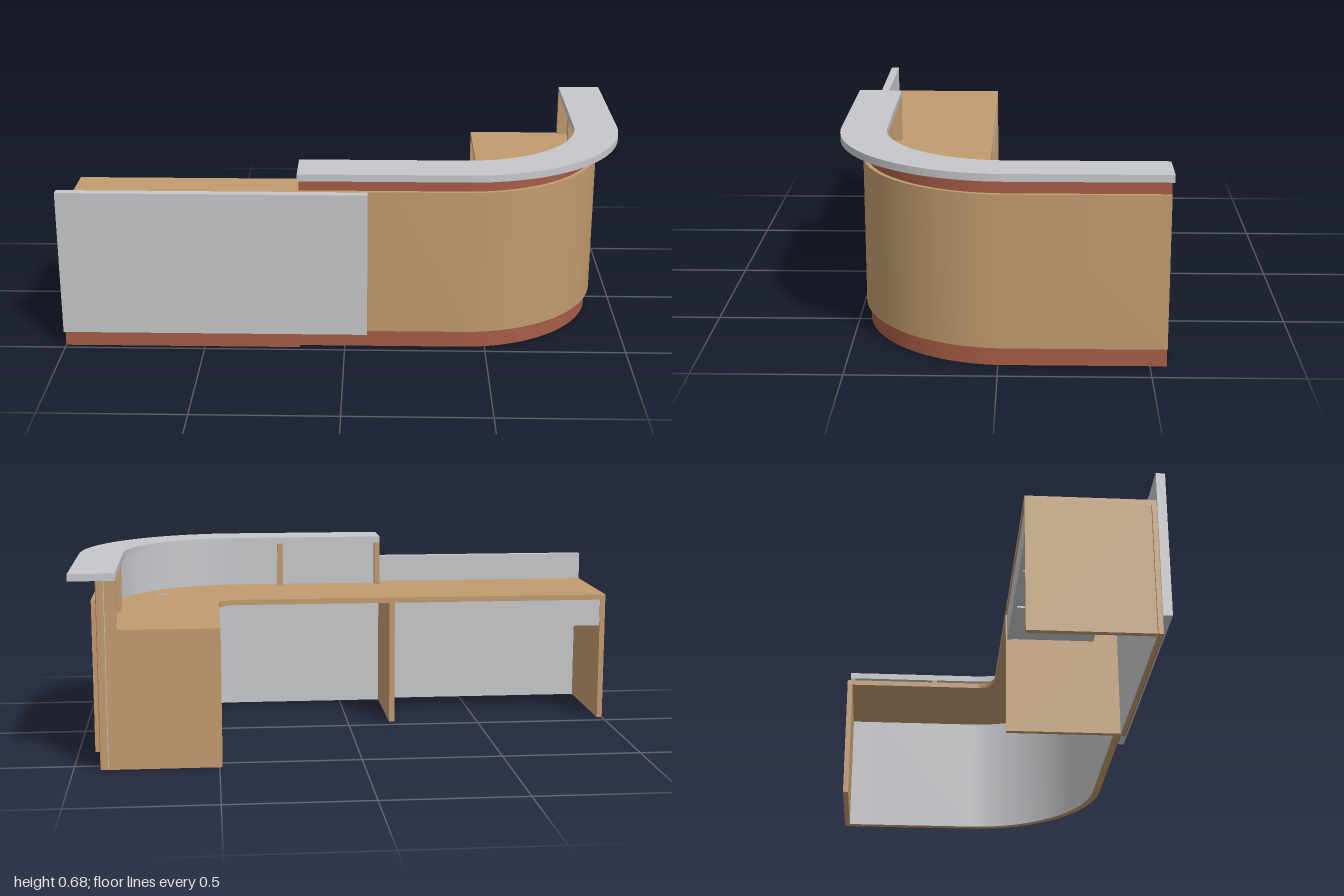
import * as THREE from 'three';
import { toCreasedNormals } from 'three/addons/utils/BufferGeometryUtils.js';

const CX = 0.42, CZ = -0.025;      // shared centre of every corner arc
const BACK = -0.555, STEP = -0.16; // back end of the return, start of the raised part
const DESK = 0.487, BOARD = 0.02, UNDER = DESK - BOARD;

export function createModel() {
  const model = new THREE.Group();
  const mat = (name, color) => {
    const m = new THREE.MeshStandardMaterial({ color });
    m.name = name;
    return m;
  };
  const wood = mat('wood', 0xc19b6e);
  const grey = mat('grey laminate', 0xc5c7ca);
  const red = mat('red laminate', 0xa65c45);

  const add = (name, geometry, material) => {
    const mesh = new THREE.Mesh(geometry, material);
    mesh.name = name;
    model.add(mesh);
    return mesh;
  };

  // Box given by its limits
  const box = (name, material, x0, x1, y0, y1, z0, z1) => {
    const g = new THREE.BoxGeometry(x1 - x0, y1 - y0, z1 - z0);
    g.translate((x0 + x1) / 2, (y0 + y1) / 2, (z0 + z1) / 2);
    return add(name, g, material);
  };

  // Plan outline (x, z) raised from y0 to y1
  const slab = (name, material, shape, y0, y1) => {
    const g = new THREE.ExtrudeGeometry(shape, { depth: y1 - y0, bevelEnabled: false, curveSegments: 32 });
    g.rotateX(Math.PI / 2);
    g.translate(0, y1, 0);
    return add(name, toCreasedNormals(g, 0.5), material);
  };

  // L-shaped band with a round corner between two radii
  const band = (name, material, r0, r1, y0, y1) => {
    const s = new THREE.Shape();
    s.moveTo(STEP, CZ + r1);
    s.lineTo(CX, CZ + r1);
    s.absarc(CX, CZ, r1, Math.PI / 2, 0, true);
    s.lineTo(CX + r1, BACK);
    s.lineTo(CX + r0, BACK);
    s.lineTo(CX + r0, CZ);
    s.absarc(CX, CZ, r0, 0, Math.PI / 2, false);
    s.lineTo(STEP, CZ + r0);
    s.closePath();
    return slab(name, material, s, y0, y1);
  };

  // Raised wall: wooden core with a laminate on each face, outer cladding, counter
  band('wallCore', wood, 0.461, 0.486, 0, 0.655);
  band('wallInnerFace', grey, 0.459, 0.461, 0, 0.655);
  band('wallOuterFace', red, 0.486, 0.488, 0, 0.655);
  band('curvedCladding', wood, 0.488, 0.503, 0.065, 0.59);
  band('raisedCounter', grey, 0.42, 0.58, 0.655, 0.68);

  // Desk top with cable hole
  const inner = 0.07, outer = 0.459;
  const desk = new THREE.Shape();
  desk.moveTo(-1, CZ + inner);
  desk.lineTo(-1, 0.478);
  desk.lineTo(STEP, 0.478);
  desk.lineTo(STEP, CZ + outer);
  desk.lineTo(CX, CZ + outer);
  desk.absarc(CX, CZ, outer, Math.PI / 2, 0, true);
  desk.lineTo(CX + outer, BACK);
  desk.lineTo(CX + inner, BACK);
  desk.lineTo(CX + inner, CZ);
  desk.absarc(CX, CZ, inner, 0, Math.PI / 2, false);
  desk.closePath();
  const hole = new THREE.Path();
  hole.absarc(0.705, 0.21, 0.021, 0, Math.PI * 2, true);
  desk.holes.push(hole);
  slab('deskTop', wood, desk, UNDER, DESK);

  // Low wall under the straight desk, and the front panel
  box('lowWallCore', wood, -1, STEP, 0, UNDER, 0.462, 0.478);
  box('lowWallInnerFace', grey, -0.98, STEP, 0, UNDER, 0.46, 0.462);
  box('lowWallOuterFace', red, -1, STEP, 0, UNDER, 0.478, 0.48);
  box('frontPanel', grey, -1, 0.08, 0.065, 0.59, 0.48, 0.511);

  // Upright panels carrying the desk
  const edge = CZ + inner;
  box('leftEndPanel', wood, -1, -0.98, 0, UNDER, edge, 0.46);
  box('middlePanel', wood, -0.18, -0.16, 0, UNDER, edge, 0.46);
  box('returnEndPanel', wood, CX + inner, CX + outer, 0, UNDER, BACK, BACK + BOARD);

  // Drawers below the straight desk
  const x0 = -0.98, x1 = -0.18, w = (x1 - x0) / 3;
  box('drawerFront', grey, x0, x1, 0.365, UNDER, edge + 0.005, edge + 0.02);
  for (let i = 0; i < 3; i++) {
    box('drawer' + (i + 1), grey, x0 + i * w + 0.006, x0 + (i + 1) * w - 0.006, 0.365, UNDER, edge + 0.02, 0.37);
  }

  // Fins between desk and raised counter
  for (const x of [STEP, 0.23]) {
    box('counterFin', wood, x, x + BOARD, DESK, 0.655, CZ + 0.42, CZ + outer);
  }
  for (const z of [BACK, -0.2]) {
    box('counterFin', wood, CX + 0.42, CX + outer, DESK, 0.655, z, z + BOARD);
  }

  return model;
}
